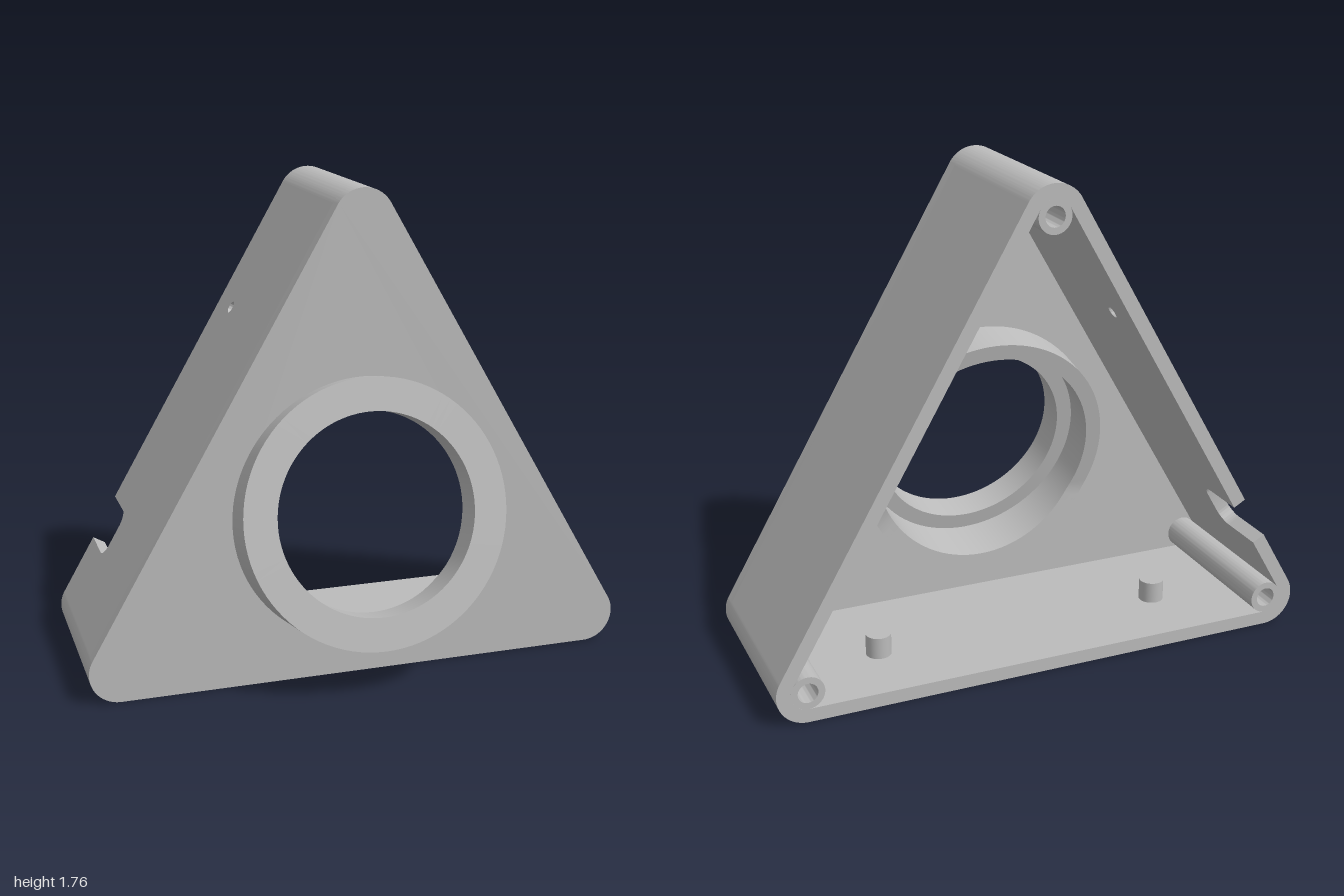
import * as THREE from 'three';
import { toCreasedNormals } from 'three/addons/utils/BufferGeometryUtils.js';

// Housing dimensions
const BACK = -0.475, FRONT = 0.215, WALL = 0.05, INNER = FRONT - WALL;
const R = 0.11, SIDE = 1.78, DEPTH = INNER - BACK;
const CORNERS = [[-0.89, 0.11], [0.89, 0.11], [0, 0.11 + SIDE * Math.sqrt(3) / 2]];
const CORNER_START = [Math.PI * 5 / 6, -Math.PI / 2, Math.PI / 6]; // start of each 120 degree arc
const ARC = Math.PI * 2 / 3;

function extrude(shape, depth) {
  const geo = new THREE.ExtrudeGeometry(shape, { depth, bevelEnabled: false, curveSegments: 32 });
  return toCreasedNormals(geo, 0.5);
}

function circleHole(x, y, rx, ry = rx) {
  const p = new THREE.Path();
  p.absellipse(x, y, rx, ry, 0, Math.PI * 2, true);
  return p;
}

// Flat strip of wall: u runs along the side, v runs along z
function wallShape(withCutouts) {
  const s = new THREE.Shape();
  s.moveTo(0, BACK);
  if (withCutouts) {
    const a = 1.36, b = 1.54, top = -0.25, r = 0.05;
    s.lineTo(a, BACK);
    s.lineTo(a, top - r);
    s.absarc(a + r, top - r, r, Math.PI, Math.PI / 2, true);
    s.absarc(b - r, top - r, r, Math.PI / 2, 0, true);
    s.lineTo(b, BACK);
    s.holes.push(circleHole(0.5, -0.305, 0.022));
  }
  s.lineTo(SIDE, BACK);
  s.lineTo(SIDE, INNER);
  s.lineTo(0, INNER);
  s.closePath();
  return s;
}

// Tilted stepped ring; its rear edge is pulled back to reach the inside of the front plate
function ringGeometry() {
  const tilt = THREE.MathUtils.degToRad(12), length = 0.26;
  const centre = new THREE.Vector3(0, 0.65, 0.375);
  const axis = new THREE.Vector3(0, Math.sin(tilt), Math.cos(tilt));
  const profile = [
    [0.48, -length], [0.48, 0], [0.36, 0], [0.36, -0.12],
    [0.42, -0.12], [0.42, -length], [0.48, -length],
  ].map(([r, h]) => new THREE.Vector2(r, h));
  const geo = new THREE.LatheGeometry(profile, 96);
  geo.rotateX(Math.PI / 2 - tilt);
  geo.translate(centre.x, centre.y, centre.z);
  const pos = geo.attributes.position, p = new THREE.Vector3();
  for (let i = 0; i < pos.count; i++) {
    p.fromBufferAttribute(pos, i);
    const h = p.clone().sub(centre).dot(axis);
    if (h < -0.2 && p.z > INNER) {
      p.addScaledVector(axis, -(p.z - INNER) / axis.z);
      pos.setXYZ(i, p.x, p.y, p.z);
    }
  }
  return toCreasedNormals(geo, 0.5);
}

export function createModel() {
  const model = new THREE.Group();
  model.name = 'triangularHousing';
  const grey = new THREE.MeshStandardMaterial({ color: 0xbbbbbb });
  grey.name = 'plainGrey';

  const add = (name, geo, x = 0, y = 0, z = 0) => {
    const mesh = new THREE.Mesh(geo, grey);
    mesh.name = name;
    mesh.position.set(x, y, z);
    model.add(mesh);
    return mesh;
  };

  // Front plate with an opening for the ring
  const plate = new THREE.Shape();
  CORNERS.forEach(([x, y], i) =>
    plate.absarc(x, y, R, CORNER_START[i], CORNER_START[i] + ARC, false));
  plate.closePath();
  plate.holes.push(circleHole(0, 0.613, 0.45, 0.46));
  add('frontPlate', extrude(plate, WALL), 0, 0, INNER);

  add('tiltedRing', ringGeometry());

  // Three straight walls; the right one has a cable notch and a small hole
  const wallNames = ['bottomWall', 'leftWall', 'rightWall'];
  CORNERS.forEach(([ax, ay], i) => {
    const [bx, by] = CORNERS[(i + 1) % 3];
    const along = new THREE.Vector3(bx - ax, by - ay, 0).normalize();
    const up = new THREE.Vector3(0, 0, 1);
    const out = along.clone().cross(up);
    const geo = extrude(wallShape(i === 2), WALL);
    const place = new THREE.Matrix4().makeBasis(along, up, out);
    place.setPosition(ax + out.x * (R - WALL), ay + out.y * (R - WALL), 0);
    geo.applyMatrix4(place);
    add(wallNames[i], geo);
  });

  // Rounded corners and screw bosses
  CORNERS.forEach(([x, y], i) => {
    const a = CORNER_START[i], corner = new THREE.Shape();
    corner.absarc(0, 0, R, a, a + ARC, false);
    corner.absarc(0, 0, R - WALL, a + ARC, a, true);
    corner.closePath();
    add('roundedCorner', extrude(corner, DEPTH), x, y, BACK);

    const boss = new THREE.Shape();
    boss.absarc(0, 0, R - WALL, 0, Math.PI * 2, false);
    boss.holes.push(circleHole(0, 0, 0.036));
    add('screwBoss', extrude(boss, DEPTH), x, y, BACK);
  });

  // Locating pegs on the floor
  for (const side of [-1, 1]) {
    add('floorPeg', new THREE.CylinderGeometry(0.046, 0.046, 0.08, 32), side * 0.55, WALL + 0.04, -0.205);
  }

  return model;
}
